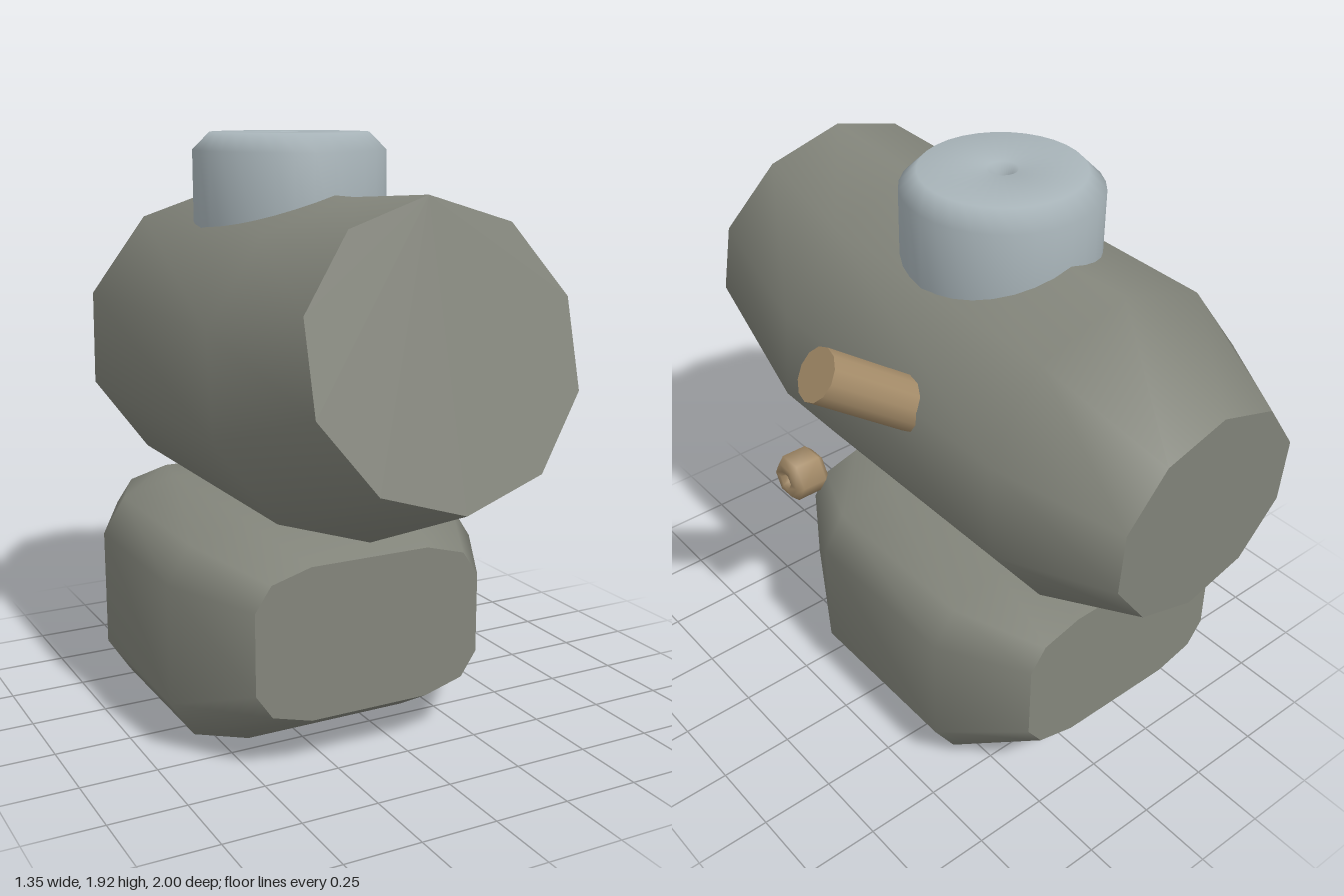
import * as THREE from 'three';
import { mergeVertices } from 'three/addons/utils/BufferGeometryUtils.js';

const mat = (name, color) => {
  const m = new THREE.MeshStandardMaterial({ color });
  m.name = name;
  return m;
};

// Smooth skin over rings (ordered front to back, each counterclockwise from the front), with flat ends
function loft(rings) {
  const n = rings[0].length, skin = [], caps = [];
  const push = (list, ...pts) => pts.forEach((p) => list.push(p.x, p.y, p.z));
  for (let i = 0; i < rings.length - 1; i++) {
    for (let j = 0; j < n; j++) {
      const k = (j + 1) % n;
      const a = rings[i][j], b = rings[i][k], c = rings[i + 1][j], d = rings[i + 1][k];
      push(skin, a, c, b, b, c, d);
    }
  }
  const front = rings[0], back = rings[rings.length - 1];
  for (let j = 1; j < n - 1; j++) {
    push(caps, front[0], front[j], front[j + 1]);
    push(caps, back[0], back[j + 1], back[j]);
  }
  const build = (list) => new THREE.BufferGeometry()
    .setAttribute('position', new THREE.Float32BufferAttribute(list, 3));
  const side = mergeVertices(build(skin));
  side.computeVertexNormals();
  const ends = build(caps);
  ends.computeVertexNormals();
  return [side, ends];
}

const CX = -0.125;

// Ten-sided ring with a corner at the top, leaning by dz at its top
function decagon(y, z, rx, ry, dz) {
  return Array.from({ length: 10 }, (_, i) => {
    const a = Math.PI / 2 + (i * Math.PI) / 5;
    return new THREE.Vector3(CX + rx * Math.cos(a), y + ry * Math.sin(a), z + dz * Math.sin(a));
  });
}

// Rectangle ring with two-step rounded corners
function softRect(y, z, w, h) {
  const corner = [[1, 0.53], [0.86, 0.85], [0.52, 1]];
  const flip = (sx, sy) => corner.map(([u, v]) => [u * sx, v * sy]);
  const pts = [...flip(1, 1), ...flip(-1, 1).reverse(), ...flip(-1, -1), ...flip(1, -1).reverse()];
  return pts.map(([u, v]) => new THREE.Vector3(CX + u * w, y + v * h, z));
}

export function createModel() {
  const model = new THREE.Group();
  const stone = mat('stone grey', 0x83857b);
  const steel = mat('pale steel', 0xa9b5ba);
  const wood = mat('tan wood', 0xa58c69);

  const add = (name, geometry, material, parent = model) => {
    const mesh = new THREE.Mesh(geometry, material);
    mesh.name = name;
    parent.add(mesh);
    return mesh;
  };
  const addLoft = (name, rings) => {
    const group = new THREE.Group();
    group.name = name;
    const [side, ends] = loft(rings);
    add(name + 'Side', side, stone, group);
    add(name + 'Ends', ends, stone, group);
    model.add(group);
  };

  // Upper barrel with a leaning front face
  addLoft('upperBarrel', [
    decagon(1.35, 0.89, 0.437, 0.42, -0.11),
    decagon(1.222, 0.415, 0.52, 0.517, -0.055),
    decagon(1.215, -0.615, 0.52, 0.508, 0.02),
    decagon(1.18, -0.98, 0.352, 0.35, -0.02),
  ]);

  // Lower base block
  addLoft('baseBlock', [
    softRect(0.4125, 0.475, 0.39, 0.2475),
    softRect(0.37, 0.18, 0.55, 0.37),
    softRect(0.37, -0.42, 0.55, 0.37),
    softRect(0.4525, -0.71, 0.4, 0.2475),
  ]);

  // Round ring with softened rims and a tiny centre hole
  const ring = (inner, outer, half, bevel, sides) => new THREE.LatheGeometry([
    [inner, -half + bevel], [inner + bevel * 0.5, -half], [outer - bevel, -half], [outer, -half + bevel],
    [outer, half - bevel], [outer - bevel, half], [inner + bevel * 0.5, half], [inner, half - bevel],
    [inner, -half + bevel],
  ].map(([r, y]) => new THREE.Vector2(r, y)), sides);

  add('topCap', ring(0.02, 0.31, 0.21, 0.055, 32), steel).position.set(CX, 1.71, -0.07);

  // Small six-sided nut beside the barrel
  const nut = add('sideNut', ring(0.02, 0.078, 0.0625, 0.02, 6), wood);
  nut.rotation.z = -Math.PI / 2;
  nut.position.set(0.478, 0.915, 0.205);

  // Slanted peg on the left flank
  const tip = new THREE.Vector3(0.622, 1.55, -0.152);
  const root = new THREE.Vector3(0.315, 1.335, -0.203);
  const peg = add('sidePeg', new THREE.CylinderGeometry(0.083, 0.083, tip.distanceTo(root), 12), wood);
  peg.position.copy(tip).add(root).multiplyScalar(0.5);
  peg.quaternion.setFromUnitVectors(new THREE.Vector3(0, 1, 0), tip.clone().sub(root).normalize());

  return model;
}
